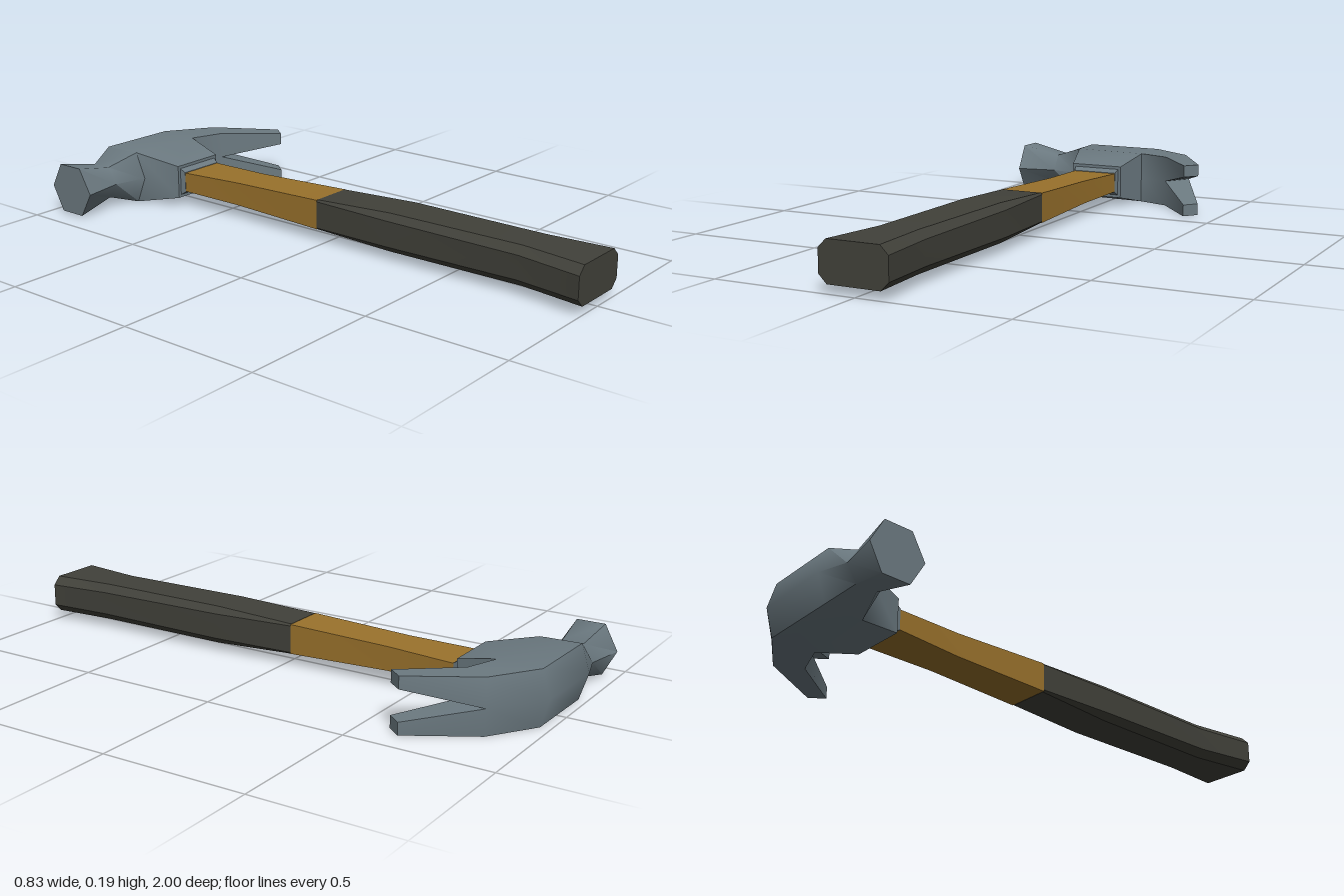
import * as THREE from 'three';
import { mergeGeometries, toCreasedNormals } from 'three/addons/utils/BufferGeometryUtils.js';

const steel = new THREE.MeshStandardMaterial({ name: 'steel', color: 0x6c7a81 });
const wood = new THREE.MeshStandardMaterial({ name: 'wood', color: 0x9a722c });
const rubber = new THREE.MeshStandardMaterial({ name: 'darkRubber', color: 0x41413a });

const MID = 0.095; // height of the hammer's plane of symmetry
const TOP = 0.189;

// Skins a row of matching loops; end caps are optional and faces always point outwards.
function loft(loops, capStart = true, capEnd = true) {
  const n = loops[0].length;
  const last = loops.length - 1;
  const sides = [], start = [], end = [];
  for (let s = 0; s < last; s++) {
    for (let i = 0; i < n; i++) {
      const j = (i + 1) % n;
      const a = loops[s][i], b = loops[s][j], c = loops[s + 1][j], d = loops[s + 1][i];
      sides.push([a, b, c], [a, c, d]);
    }
  }
  for (let i = 1; i < n - 1; i++) {
    start.push([loops[0][0], loops[0][i + 1], loops[0][i]]);
    end.push([loops[last][0], loops[last][i], loops[last][i + 1]]);
  }
  let volume = 0;
  for (const t of [...sides, ...start, ...end]) {
    const [a, b, c] = t.map((p) => new THREE.Vector3(...p));
    volume += a.dot(b.cross(c));
  }
  const tris = [...sides, ...(capStart ? start : []), ...(capEnd ? end : [])];
  const points = tris.flatMap(([a, b, c]) => (volume < 0 ? [a, c, b] : [a, b, c]));
  const geometry = new THREE.BufferGeometry();
  geometry.setAttribute('position', new THREE.Float32BufferAttribute(points.flat(), 3));
  return geometry;
}

// Rectangle across the handle
const rect = (z, x0, x1, y0, y1) => [[x0, y0, z], [x1, y0, z], [x1, y1, z], [x0, y1, z]];

// Rectangle with cut corners across the handle
const octagon = (z, x0, x1, y0, y1, c) => [
  [x0 + c, y0, z], [x1 - c, y0, z], [x1, y0 + c, z], [x1, y1 - c, z],
  [x1 - c, y1, z], [x0 + c, y1, z], [x0, y1 - c, z], [x0, y0 + c, z],
];

// Six-sided section across the head; back and front corners are [x, z]
const hexagon = (h, edgeBack, edgeFront, ridgeBack, ridgeFront) => [
  [edgeBack[0], MID + h, edgeBack[1]],
  [edgeFront[0], MID + h, edgeFront[1]],
  [ridgeFront[0], MID, ridgeFront[1]],
  [edgeFront[0], MID - h, edgeFront[1]],
  [edgeBack[0], MID - h, edgeBack[1]],
  [ridgeBack[0], MID, ridgeBack[1]],
];

function part(name, geometry, material, crease) {
  const mesh = new THREE.Mesh(toCreasedNormals(geometry, crease), material);
  mesh.name = name;
  return mesh;
}

function headGeometry() {
  const h = TOP - MID;
  // Striking face, waist, cheek and the curve of the claw up to its notch
  const body = loft([
    hexagon(0.088, [-0.417, -0.95], [-0.417, -0.85], [-0.417, -0.997], [-0.417, -0.8]),
    hexagon(0.057, [-0.27, -0.935], [-0.27, -0.862], [-0.27, -0.97], [-0.27, -0.825]),
    hexagon(h, [-0.168, -0.97], [-0.16, -0.83], [-0.168, -1], [-0.16, -0.8]),
    hexagon(h, [0.12, -0.965], [0.115, -0.812], [0.12, -0.992], [0.115, -0.812]),
    hexagon(h, [0.28, -0.858], [0.232, -0.77], [0.292, -0.865], [0.232, -0.77]),
  ], true, false);

  // Two tapering prongs with a V notch between them
  const prongs = [1, -1].map((s) => {
    const outer = MID + s * h, inner = MID + s * 0.052;
    return loft([
      [[0.28, outer, -0.858], [0.232, outer, -0.77], [0.232, MID, -0.77], [0.292, MID, -0.865]],
      [[0.413, outer, -0.638], [0.375, outer, -0.59], [0.375, inner, -0.59], [0.413, inner, -0.638]],
    ], false, true);
  });

  // Tapered neck that takes the handle
  const neck = loft([
    [[-0.16, MID - h, -0.83], [0.115, MID - h, -0.812], [0.115, TOP, -0.812], [-0.16, TOP, -0.83]],
    rect(-0.665, -0.11, 0.09, 0.035, 0.155),
  ], false, true);

  return mergeGeometries([body, ...prongs, neck]);
}

export function createModel() {
  const hammer = new THREE.Group();
  hammer.name = 'clawHammer';

  hammer.add(part('head', headGeometry(), steel, 1.0));

  // Thin collar where the handle enters the head
  hammer.add(part('collar', loft([
    rect(-0.666, -0.099, 0.079, 0.045, 0.145),
    rect(-0.645, -0.095, 0.075, 0.058, 0.132),
  ]), steel, 0.4));

  hammer.add(part('handle', loft([
    rect(-0.65, -0.094, 0.074, 0.06, 0.13),
    rect(-0.4, -0.08, 0.062, 0.054, 0.137),
    rect(-0.03, -0.085, 0.072, 0.045, 0.149),
  ]), wood, 0.4));

  hammer.add(part('grip', loft([
    octagon(-0.03, -0.086, 0.073, 0.044, 0.15, 0.006),
    octagon(0.27, -0.093, 0.094, 0.03, 0.163, 0.022),
    octagon(0.77, -0.089, 0.096, 0.03, 0.163, 0.026),
    octagon(1, -0.123, 0.115, 0.03, 0.163, 0.028),
  ]), rubber, 0.4));

  return hammer;
}
